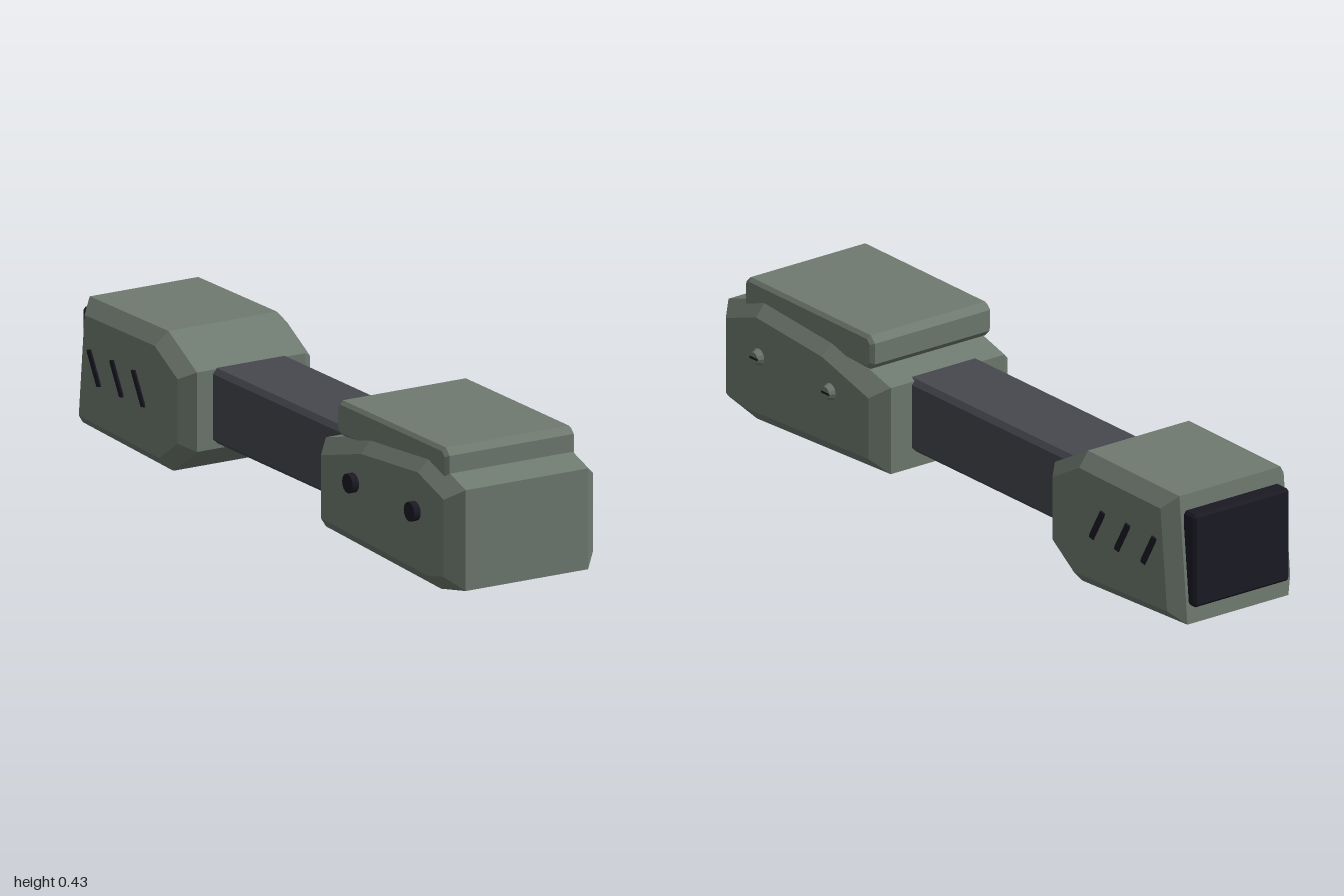
import * as THREE from 'three';

const mat = (name, color) => {
  const m = new THREE.MeshStandardMaterial({ color });
  m.name = name;
  return m;
};

// Side profile of [z, y] points extruded across x, with chamfered side edges
function sideExtrude(points, halfWidth, bevel, bevelX = bevel) {
  const shape = new THREE.Shape(points.map(([z, y]) => new THREE.Vector2(-z, y)));
  const depth = 2 * (halfWidth - bevelX);
  const geo = new THREE.ExtrudeGeometry(shape, {
    depth, bevelEnabled: true, bevelSegments: 1,
    bevelThickness: bevelX, bevelSize: bevel, bevelOffset: -bevel,
  });
  return geo.translate(0, 0, -depth / 2).rotateY(Math.PI / 2);
}

// Rectangle in z and y with cut corners
const cutRect = (z0, z1, y0, y1, c) => [
  [z1, y0 + c], [z1 - c, y0], [z0 + c, y0], [z0, y0 + c],
  [z0, y1 - c], [z0 + c, y1], [z1 - c, y1], [z1, y1 - c],
];

export function createModel() {
  const group = new THREE.Group();
  const green = mat('grey green', 0x6f7a70);
  const grey = mat('dark grey', 0x46484f);
  const black = mat('near black', 0x1b1a24);

  const add = (name, geo, material, x = 0, y = 0, z = 0) => {
    const mesh = new THREE.Mesh(geo, material);
    mesh.name = name;
    mesh.position.set(x, y, z);
    group.add(mesh);
    return mesh;
  };

  // Front housing and its raised cover
  add('frontHousing', sideExtrude([
    [1, 0.053], [0.875, 0.028], [0.29, 0.055], [0.29, 0.305],
    [0.53, 0.37], [0.83, 0.392], [1, 0.336],
  ], 0.237, 0.043), green);
  add('topCover', sideExtrude(cutRect(0.358, 0.92, 0.333, 0.431, 0.019), 0.205, 0.01), green);

  // Rear housing
  add('rearHousing', sideExtrude([
    [-0.4, 0.085], [-0.52, 0.002], [-0.98, 0.022],
    [-0.945, 0.384], [-0.545, 0.388], [-0.4, 0.308],
  ], 0.21, 0.038), green);

  // Connecting bar with chamfered long edges
  const bar = new THREE.Shape(cutRect(-0.122, 0.122, 0.1, 0.31, 0.014)
    .map(([x, y]) => new THREE.Vector2(x, y)));
  add('connectingBar', new THREE.ExtrudeGeometry(bar, { depth: 0.86, bevelEnabled: false }),
    grey, 0, 0, -0.48);

  // End pad on the back
  add('endPad', sideExtrude(cutRect(-1, -0.945, 0.072, 0.341, 0.008), 0.163, 0.008), black);

  // Slanted vents on both sides of the rear housing
  const vent = sideExtrude([
    [0.034, -0.044], [0.016, -0.048], [-0.03, 0.032],
    [-0.034, 0.044], [-0.016, 0.048], [0.03, -0.032],
  ], 0.007, 0.002);
  for (const side of [-1, 1]) {
    for (const z of [-0.635, -0.745, -0.86]) add('vent', vent, black, side * 0.208, 0.21, z);
  }

  // Slotted screws on the left, plain dark knobs on the right
  const screw = new THREE.CylinderGeometry(0.017, 0.026, 0.02, 12).rotateZ(-Math.PI / 2);
  const ridge = new THREE.BoxGeometry(0.006, 0.006, 0.034);
  const knob = new THREE.CylinderGeometry(0.027, 0.027, 0.02, 16).rotateZ(Math.PI / 2);
  for (const z of [0.5, 0.813]) {
    add('screw', screw, green, 0.244, 0.238, z).material.flatShading = true;
    add('screwRidge', ridge, black, 0.2525, 0.238, z);
    add('knob', knob, black, -0.247, 0.238, z);
  }

  return group;
}
